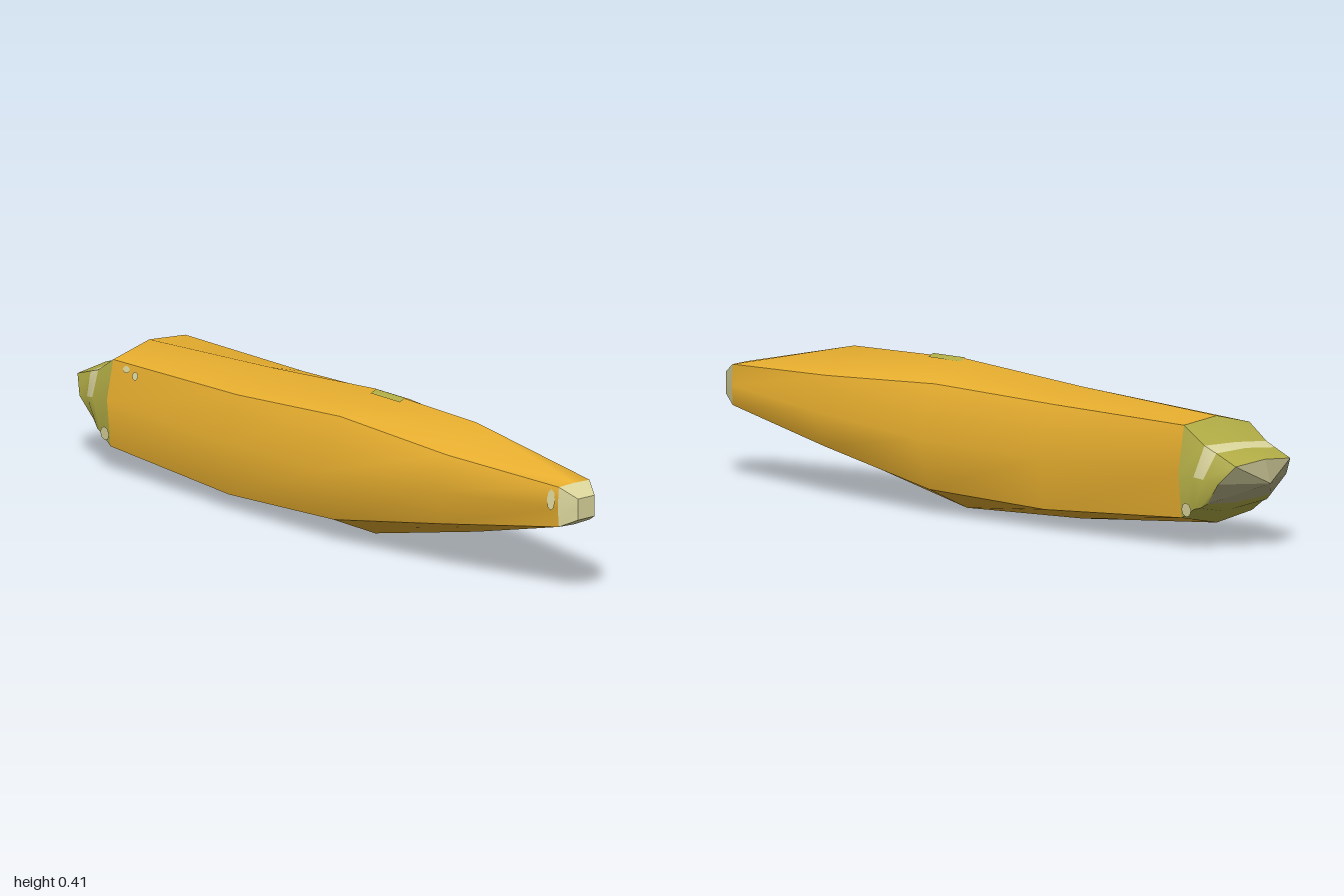
import * as THREE from 'three';

const mat = (name, color) => {
  const m = new THREE.MeshStandardMaterial({ color });
  m.name = name;
  return m;
};

// Ring of 8 points: top, upper, side, lower, bottom and mirrored back.
// shear pushes lower points towards +x.
function ring([x, top, uy, uz, sy, sz, ly, lz, bottom, shear = 0, backLift = 0]) {
  const pts = [[top, 0], [uy, uz], [sy, sz], [ly, lz], [bottom, 0],
    [ly + backLift * 0.5, -lz], [sy, -sz], [uy + backLift, -uz]];
  return pts.map(([y, z]) => new THREE.Vector3(x + shear * (top - y), y, z));
}

// Four rounded panels joined by creases. Upper quads use the material of
// their ring interval, lower quads the first material.
function loft(rows) {
  const rings = rows.map(ring);
  const panels = [[7, 0, 1], [1, 2, 3], [3, 4, 5], [5, 6, 7]];
  const pos = [], idx = [], geo = new THREE.BufferGeometry();
  rings.forEach((r) => panels.forEach((p) => p.forEach((k) => pos.push(...r[k].toArray()))));
  for (let i = 0; i < rings.length - 1; i++) {
    for (let p = 0; p < 4; p++) {
      for (let k = 0; k < 2; k++) {
        const a = i * 12 + p * 3 + k, b = a + 12;
        const upper = p === 0 || (p === 1 && k === 0) || (p === 3 && k === 1);
        geo.addGroup(idx.length, 6, upper ? i : 0);
        idx.push(a, a + 1, b, b, a + 1, b + 1);
      }
    }
  }
  geo.setAttribute('position', new THREE.Float32BufferAttribute(pos, 3));
  geo.setIndex(idx);
  geo.computeVertexNormals();
  return geo;
}

// Flat-faced fan closing a ring
function cap(row, centre, facesRight) {
  const r = ring(row), pos = [];
  r.forEach((p, k) => {
    const q = r[(k + 1) % 8];
    const tri = facesRight ? [centre, p, q] : [centre, q, p];
    tri.forEach((v) => pos.push(v.x, v.y, v.z));
  });
  const geo = new THREE.BufferGeometry();
  geo.setAttribute('position', new THREE.Float32BufferAttribute(pos, 3));
  geo.computeVertexNormals();
  return geo;
}

export function createModel() {
  const group = new THREE.Group();
  const yellow = mat('golden skin', 0xe8af2f);
  const olive = mat('olive green', 0xb3ae46);
  const pale = mat('pale cream', 0xdcd69c);
  const cut = mat('cut grey', 0xb4b084);
  const add = (name, geo, material) => {
    const m = new THREE.Mesh(geo, material);
    m.name = name;
    group.add(m);
    return m;
  };

  // x, top, upper y/z, side y/z, lower y/z, bottom, shear, back lift
  const base = [-0.8, 0.352, 0.32, 0.132, 0.21, 0.155, 0.075, 0.142, 0.056, 0, 0.02];
  const tip = [0.95, 0.32, 0.318, 0.056, 0.26, 0.06, 0.205, 0.056, 0.202];
  const end = [1, 0.29, 0.29, 0.03, 0.26, 0.03, 0.23, 0.03, 0.23];
  const body = [
    base,
    [-0.3, 0.38, 0.325, 0.122, 0.2, 0.18, 0.047, 0.152, 0.015, 0, 0.02],
    [0.13, 0.412, 0.357, 0.128, 0.215, 0.205, 0.068, 0.152, 0],
    [0.55, 0.405, 0.335, 0.112, 0.24, 0.157, 0.14, 0.12, 0.095],
    tip,
  ];
  add('body', loft(body), yellow);

  // Blossom end
  add('tipBevel', loft([tip, end]), pale);
  add('tipCap', cap(end, new THREE.Vector3(1, 0.26, 0), true), pale);

  // Stem end, tapering to a slanted cut
  const stem = [-0.98, 0.25, 0.24, 0.11, 0.19, 0.138, 0.13, 0.128, 0.12, 0.8];
  add('stem', loft([
    stem,
    [-0.91, 0.274, 0.262, 0.12, 0.2, 0.15, 0.112, 0.136, 0.1, 0.3, 0.01],
    [-0.87, 0.286, 0.275, 0.126, 0.205, 0.157, 0.105, 0.139, 0.09, 0.15, 0.015],
    base,
  ]), [olive, pale, olive]);
  add('stemCut', cap(stem, new THREE.Vector3(-1, 0.185, 0), false), cut);

  // Pale flecks lying on the skin: position, outward direction, half width and height
  const flecks = [
    [[-0.7, 0.295, 0.141], [0, 0.25, 1], 0.012, 0.012],
    [[-0.74, 0.305, 0.137], [0, 0.25, 1], 0.014, 0.01],
    [[0.93, 0.28, 0.067], [0.19, 0.1, 1], 0.014, 0.03],
    [[-0.815, 0.11, 0.15], [0, -0.06, 1], 0.018, 0.02],
    [[-0.825, 0.11, -0.15], [0, -0.06, -1], 0.018, 0.02],
  ];
  for (const [at, out, w, h] of flecks) {
    const m = add('fleck', new THREE.CircleGeometry(1, 8), pale);
    m.position.set(...at);
    m.lookAt(new THREE.Vector3(...at).add(new THREE.Vector3(...out)));
    m.scale.set(w, h, 1);
  }

  // Green blemish lying over the top ridge
  const spot = new THREE.PlaneGeometry(0.12, 0.04, 1, 2).rotateX(-Math.PI / 2);
  const p = spot.attributes.position;
  for (let i = 0; i < p.count; i++) p.setY(i, 0.414 - Math.abs(p.getZ(i)) * 0.43);
  spot.translate(0.2, 0, 0.005);
  spot.computeVertexNormals();
  add('blemish', spot, olive);

  return group;
}
